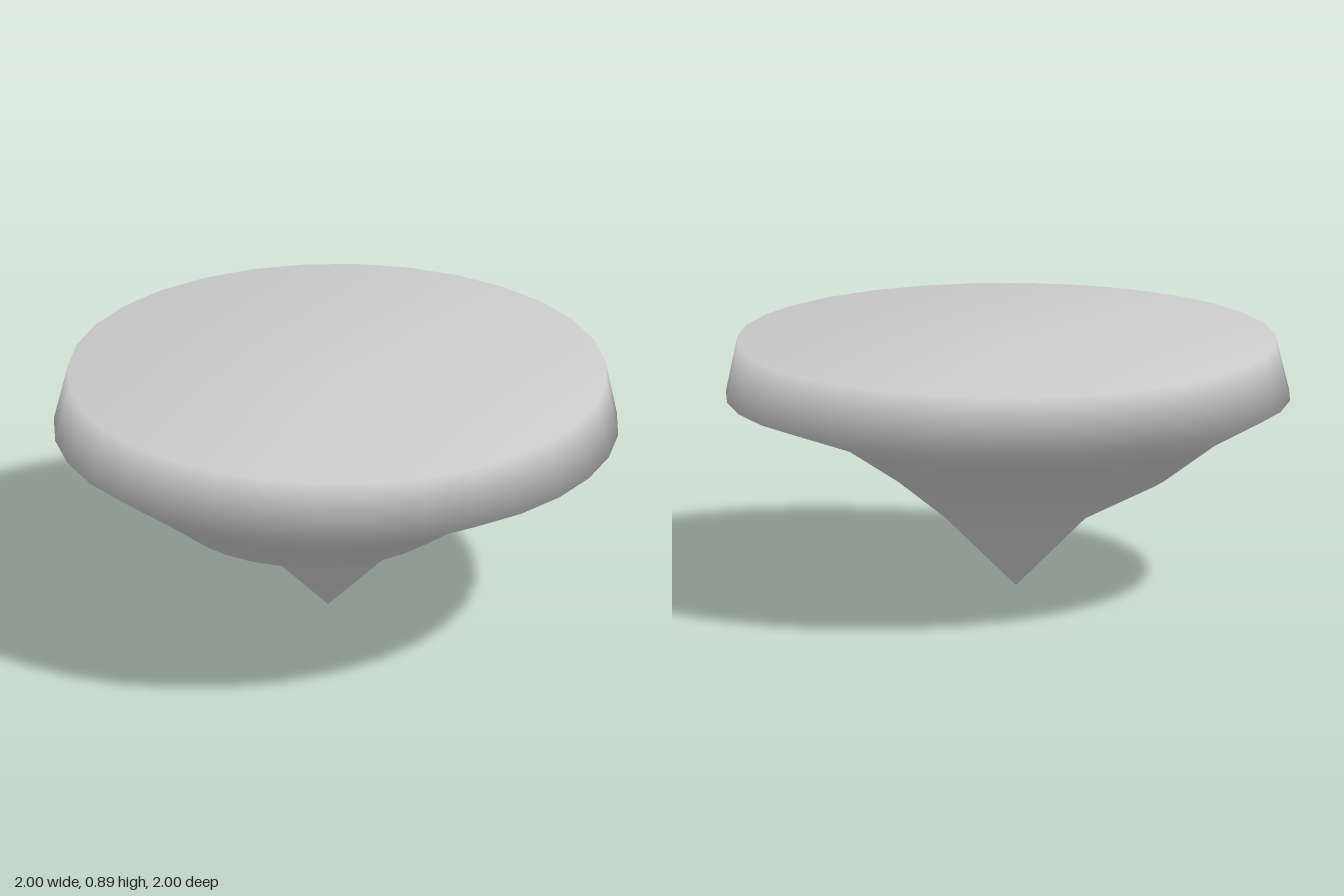
import * as THREE from 'three';

// Rings from tip to top centre: radius, height, x offset, z offset
const RINGS = [
  [0, 0, -0.02, 0.02],
  [0.26, 0.26, -0.018, 0.02],
  [0.49, 0.39, -0.02, 0.105],
  [0.697, 0.537, -0.012, 0.095],
  [1, 0.685, 0, 0],
  [0.955, 0.887, 0, -0.007],
  [0, 0.887, 0, -0.007],
];

export function createModel() {
  const group = new THREE.Group();
  group.name = 'floatingIsland';

  // Turned body: rocky point below, sloping rim and flat top, smoothly shaded
  const profile = RINGS.map(([r, y]) => new THREE.Vector2(r, y));
  const geometry = new THREE.LatheGeometry(profile, 32);

  // Slide each ring sideways so the underside hangs off-centre
  const pos = geometry.attributes.position;
  for (let i = 0; i < pos.count; i++) {
    const [, , dx, dz] = RINGS[i % RINGS.length];
    pos.setX(i, pos.getX(i) + dx);
    pos.setZ(i, pos.getZ(i) + dz);
  }

  const material = new THREE.MeshStandardMaterial({ color: 0xcccccc });
  const island = new THREE.Mesh(geometry, material);
  island.name = 'islandBody';
  group.add(island);
  return group;
}
